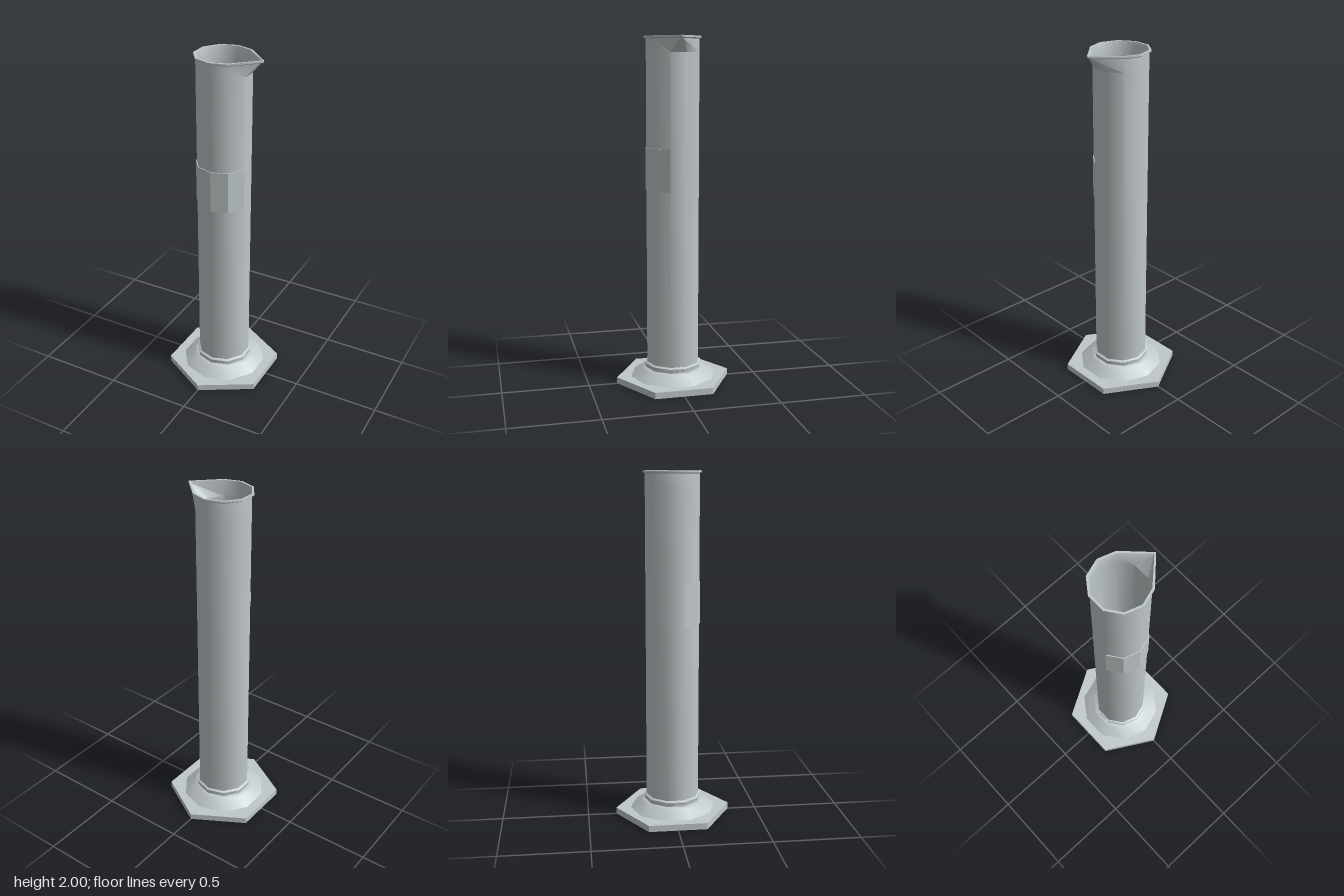
import * as THREE from 'three';
import { toCreasedNormals } from 'three/addons/utils/BufferGeometryUtils.js';

const SIDES = 10;
const glass = new THREE.MeshStandardMaterial({ name: 'greyGlass', color: 0xc0c8ca });
const white = new THREE.MeshStandardMaterial({ name: 'whiteFloor', color: 0xffffff });

// Ten-sided turned shape, smooth around and sharp between steps
function turned(profile, arcStart = 0, arc = Math.PI * 2, segments = SIDES) {
  const points = profile.map(([r, y]) => new THREE.Vector2(r, y));
  return new THREE.LatheGeometry(points, segments, arcStart, arc);
}

// Draw the two corners nearest +x together into a pouring spout
function pullSpout(geometry) {
  const p = geometry.attributes.position;
  const bottom = 1.91, height = 0.08;
  for (let i = 0; i < p.count; i++) {
    const x = p.getX(i), y = p.getY(i), z = p.getZ(i);
    const r = Math.hypot(x, z);
    if (y <= bottom || x < r * 0.9) continue;
    const t = Math.min(1, (y - bottom) / height);
    p.setX(i, THREE.MathUtils.lerp(x, r + 0.065, t));
    p.setZ(i, THREE.MathUtils.lerp(z, Math.sign(z) * 0.002, t));
  }
  return geometry;
}

export function createModel() {
  const model = new THREE.Group();
  model.name = 'measuringCylinder';
  const add = (name, geometry, material) => {
    const mesh = new THREE.Mesh(geometry, material);
    mesh.name = name;
    model.add(mesh);
    return mesh;
  };

  // Hexagonal foot
  const foot = new THREE.CylinderGeometry(0.335, 0.335, 0.037, 6);
  foot.translate(0, 0.0185, 0);
  add('foot', toCreasedNormals(foot, 0.7), glass);

  // Sloping flange with the stepped collar that holds the tube
  const flange = turned([
    [0.25, 0.036], [0.185, 0.082], [0.177, 0.088], [0.164, 0.09],
    [0.164, 0.105], [0.167, 0.108], [0.167, 0.115], [0.154, 0.122],
  ]);
  add('flange', toCreasedNormals(flange, 0.7), glass);

  // Hollow tube with lip and spout
  const tube = pullSpout(turned([
    [0.154, 0.04], [0.154, 1.91], [0.154, 1.984], [0.165, 1.99],
    [0.165, 2], [0.153, 2], [0.149, 1.985], [0.149, 1.91], [0.149, 0.045],
  ]));
  add('tube', toCreasedNormals(tube, 0.7), glass);

  // Floor inside the tube
  const floor = new THREE.CircleGeometry(0.151, SIDES, Math.PI / 2);
  floor.rotateX(-Math.PI / 2);
  add('innerFloor', floor, white).position.y = 0.05;

  // Flat-faced label panel wrapped around the front
  const step = Math.PI * 2 / SIDES;
  const label = turned([
    [0.154, 1.142], [0.159, 1.142], [0.159, 1.382], [0.154, 1.382],
  ], -2 * step, 4 * step, 4);
  add('labelPanel', toCreasedNormals(label, 0.1), glass);

  return model;
}
